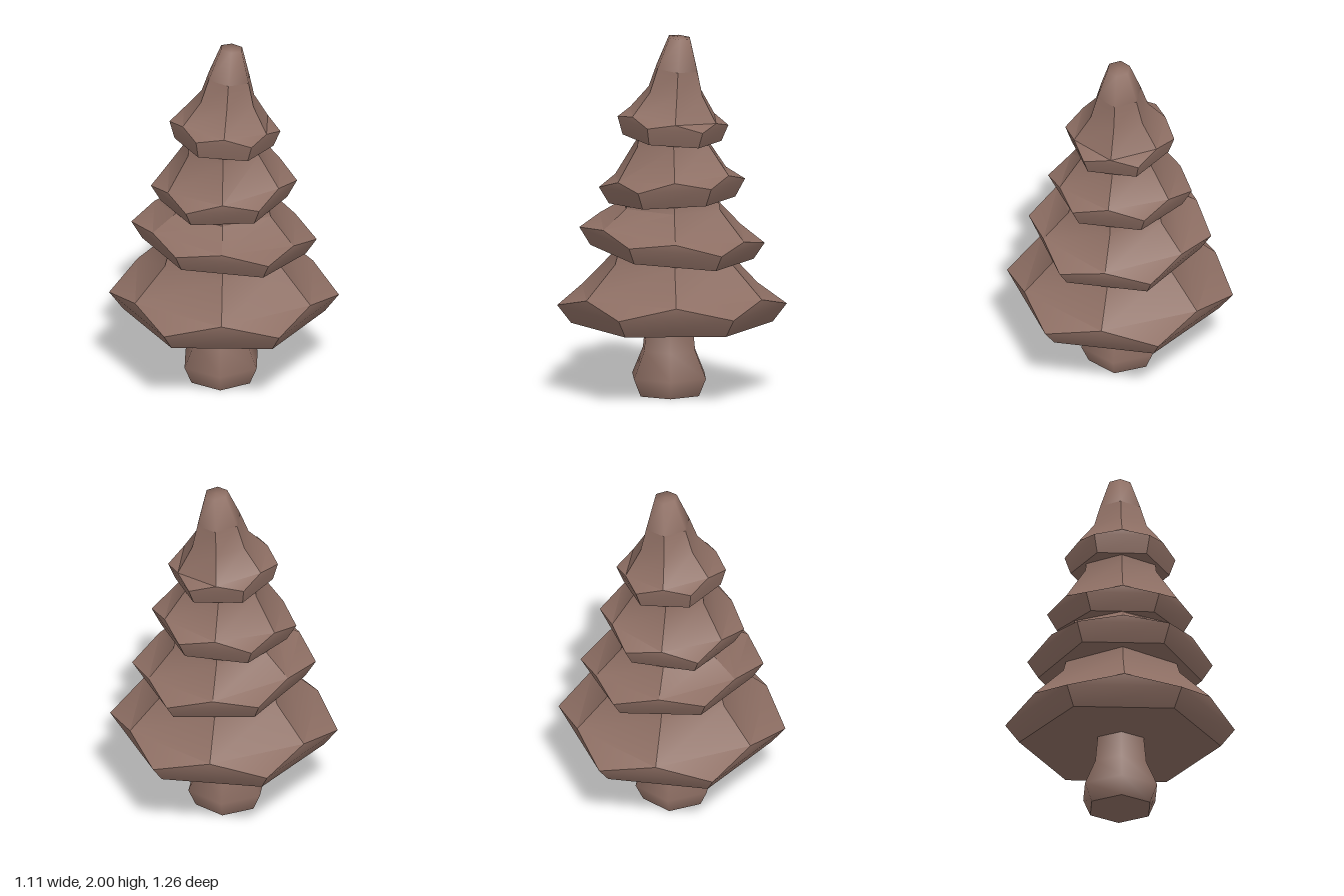
import * as THREE from 'three';
import { toCreasedNormals } from 'three/addons/utils/BufferGeometryUtils.js';

const SIDES = 6;
const bark = new THREE.MeshStandardMaterial({ color: 0x8d6e63 });
bark.name = 'woodBrown';

// Hexagon of points; half = 0.5 turns it by half a side. A ring is [radius, y, tilt, centreX].
function hexRing([r, y, tilt = 0, cx = 0], half) {
  return Array.from({ length: SIDES }, (_, k) => {
    const a = ((k + half) / SIDES) * Math.PI * 2;
    const x = r * Math.sin(a);
    return [cx + x, y + x * tilt, r * Math.cos(a)];
  });
}

function toMesh(name, tris, crease) {
  const geo = new THREE.BufferGeometry();
  geo.setAttribute('position', new THREE.Float32BufferAttribute(tris.flat(2), 3));
  geo.computeVertexNormals();
  const mesh = new THREE.Mesh(toCreasedNormals(geo, crease), bark);
  mesh.name = name;
  return mesh;
}

// Joins stacked hexagons, lowest first
function stack(tris, rings) {
  for (let i = 0; i < rings.length - 1; i++) {
    const lo = rings[i], hi = rings[i + 1];
    for (let k = 0; k < SIDES; k++) {
      const n = (k + 1) % SIDES;
      tris.push([lo[k], lo[n], hi[n]], [lo[k], hi[n], hi[k]]);
    }
  }
}

// Flat or pointed centre closing a hexagon
function close(tris, ring, centre, up) {
  for (let k = 0; k < SIDES; k++) {
    const n = (k + 1) % SIDES;
    tris.push(up ? [centre, ring[k], ring[n]] : [centre, ring[n], ring[k]]);
  }
}

// Branch tier: flat underside, flared rim with drooping corners, sloped panels above
function makeTier(name, { base, corner, mid, upper }) {
  const tris = [];
  const B = hexRing(base, 0), C = hexRing(corner, 0), M = hexRing(mid, 0.5);
  close(tris, B, [base[3] || 0, base[1], 0], false);
  stack(tris, [B, C]);
  for (let k = 0; k < SIDES; k++) {
    const n = (k + 1) % SIDES;
    tris.push([C[k], C[n], M[k]]); // raised middle of the rim
    tris.push([M[k], C[n], M[n]]); // drooping corner
  }
  stack(tris, [M, ...upper.map((r) => hexRing(r, 0.5))]);
  return toMesh(name, tris, 0.6);
}

const TIERS = [
  {
    base: [0.555, 0.4], corner: [0.632, 0.5], mid: [0.557, 0.57],
    upper: [[0.37, 0.755], [0.34, 0.85]],
  },
  {
    base: [0.45, 0.793, -0.108], corner: [0.51, 0.887, -0.108], mid: [0.447, 0.93, -0.105],
    upper: [[0.3, 1.055, -0.03], [0.283, 1.12, 0.05]],
  },
  {
    base: [0.348, 1.082, 0.053], corner: [0.402, 1.178, 0.06], mid: [0.352, 1.223, 0.065],
    upper: [[0.225, 1.402, 0.03], [0.215, 1.47, -0.08]],
  },
  {
    base: [0.272, 1.43, -0.085], corner: [0.305, 1.525, -0.1, 0.006], mid: [0.266, 1.557, -0.1, 0.008],
    upper: [[0.167, 1.69, -0.09, 0.022], [0.127, 1.82, -0.09, 0.031]],
  },
];

export function createModel() {
  const tree = new THREE.Group();
  tree.name = 'tree';

  // Trunk: six-sided, swollen near the ground
  const trunk = new THREE.Group();
  trunk.name = 'trunk';
  const profile = [[0.185, 0], [0.229, 0.1], [0.162, 0.25], [0.145, 0.41]]
    .map(([r, y]) => new THREE.Vector2(r, y));
  const stem = new THREE.Mesh(new THREE.LatheGeometry(profile, SIDES, Math.PI / 6), bark);
  stem.name = 'trunkStem';
  const foot = new THREE.Mesh(new THREE.CircleGeometry(0.185, SIDES).rotateX(Math.PI / 2), bark);
  foot.name = 'trunkFoot';
  trunk.add(stem, foot);
  trunk.position.x = -0.018;
  tree.add(trunk);

  // Branch tiers, from the ground up
  TIERS.forEach((t, i) => tree.add(makeTier(`branchTier${i + 1}`, t)));

  // Rounded, leaning tip
  const tip = [];
  const low = hexRing([0.127, 1.82, -0.09, 0.031], 0.5);
  const top = hexRing([0.066, 1.993, -0.1, 0.047], 0.5);
  stack(tip, [low, top]);
  close(tip, top, [0.047, 1.995, 0], true);
  tree.add(toMesh('treeTip', tip, 1.8));

  return tree;
}
